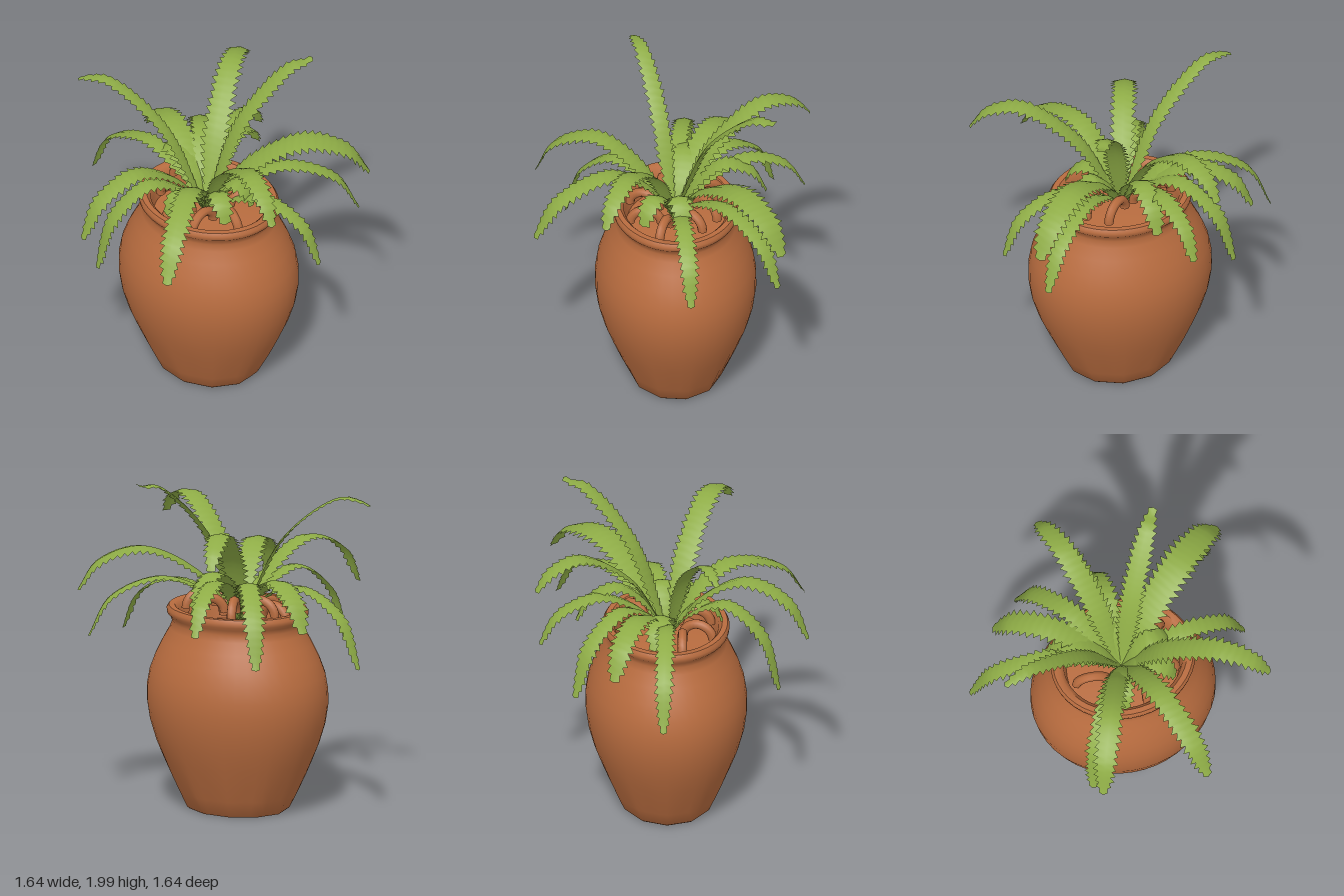
import * as THREE from 'three';
import { toCreasedNormals } from 'three/addons/utils/BufferGeometryUtils.js';

const terracotta = new THREE.MeshStandardMaterial({ color: 0xb86c3f });
terracotta.name = 'terracotta';
const fern = new THREE.MeshStandardMaterial({ color: 0x8eac46, side: THREE.DoubleSide });
fern.name = 'fern green';

// Small seeded generator for uneven leaf teeth
let seed = 7;
const random = () => (seed = (seed * 16807) % 2147483647) / 2147483647;

// Slightly oval urn with a faceted foot and a rolled rim
function makePot() {
  const profile = [
    [0, 0], [0.29, 0], [0.305, 0.012], [0.35, 0.1], [0.4, 0.2], [0.445, 0.3], [0.487, 0.4],
    [0.524, 0.52], [0.541, 0.63], [0.54, 0.72], [0.524, 0.81], [0.49, 0.9], [0.445, 0.99],
    [0.405, 1.06], [0.39, 1.1], [0.4, 1.13], [0.42, 1.15], [0.424, 1.175], [0.41, 1.195],
    [0.375, 1.195], [0.35, 1.17], [0.34, 1.11], [0.33, 1.05], [0, 1.08],
  ].map(([r, y]) => new THREE.Vector2(r, y));
  const geo = new THREE.LatheGeometry(profile, 44);
  const pos = geo.attributes.position;
  const sides = 11, step = (Math.PI * 2) / sides;
  for (let i = 0; i < pos.count; i++) {
    const x = pos.getX(i), y = pos.getY(i), z = pos.getZ(i);
    // blend from a polygon at the foot to a smooth oval above
    const a = ((Math.atan2(x, z) + Math.PI * 2) % step) - step / 2;
    const facet = 1.02 * Math.cos(step / 2) / Math.cos(a);
    const k = THREE.MathUtils.lerp(facet, 1, Math.min(1, y / 0.35));
    pos.setXYZ(i, x * k, y, z * k * 0.86);
  }
  const pot = new THREE.Mesh(toCreasedNormals(geo, 0.8), terracotta);
  pot.name = 'pot';
  pot.position.set(0.065, 0, -0.02);
  return pot;
}

// Curled clay pieces lying inside the mouth
function makeCurls() {
  const group = new THREE.Group();
  group.name = 'clayCurls';
  const geo = new THREE.TorusGeometry(0.09, 0.028, 7, 14, Math.PI);
  for (let i = 0; i < 8; i++) {
    const a = (i / 8) * Math.PI * 2 + 0.35;
    const curl = new THREE.Mesh(geo, terracotta);
    curl.name = 'clayCurl';
    const back = Math.cos(a) < -0.3;
    curl.position.set(0.065 + Math.sin(a) * 0.22, back ? 1.18 : 1.12, -0.02 + Math.cos(a) * 0.19);
    curl.rotation.y = a + Math.PI / 2 + (i % 3 - 1) * 0.5;
    group.add(curl);
  }
  return group;
}

// Arching frond: tip position, peak height, share of the reach at the peak, half width
function makeFrond([x, y, z, peak, at, half]) {
  const root = new THREE.Vector3(0.05, 1.1, -0.01);
  const tip = new THREE.Vector3(x, y, z);
  const along = (f, h) => new THREE.Vector3().lerpVectors(root, tip, f).setY(h);
  const curve = new THREE.CatmullRomCurve3([
    root,
    along(at * 0.42, 1.1 + (peak - 1.1) * 0.66),
    along(at, peak),
    along(at + (1 - at) * 0.7, peak - (peak - y) * 0.33),
    tip,
  ]);
  const side = new THREE.Vector3(-(z - root.z), 0, x - root.x).normalize();
  const teeth = Math.max(9, Math.round(curve.getLength() / 0.046));
  const rows = teeth * 2;
  const verts = [], index = [];
  for (let i = 0; i <= rows; i++) {
    const t = i / rows;
    const p = curve.getPointAt(t), dir = curve.getTangentAt(t);
    const up = new THREE.Vector3().crossVectors(side, dir).normalize();
    // narrow stem, full middle, rounded point, with a saw-toothed edge
    const grow = 0.35 + 0.65 * THREE.MathUtils.smoothstep(t, 0, 0.35);
    const fade = Math.sqrt(Math.max(0, 1 - Math.max(0, (t - 0.5) / 0.5) ** 3));
    const w = half * grow * fade;
    const tooth = i % 2 === 1;
    for (const s of [-1, 0, 1]) {
      const reach = s * w * (tooth ? 1.08 + random() * 0.22 : 0.74);
      const v = p.clone().addScaledVector(side, reach).addScaledVector(up, -Math.abs(reach) * 0.22);
      if (s !== 0 && tooth) v.addScaledVector(dir, 0.014);
      verts.push(v.x, v.y, v.z);
    }
    if (i < rows) {
      for (let j = 0; j < 2; j++) {
        const a = i * 3 + j, b = a + 1, c = a + 3, d = a + 4;
        index.push(a, b, c, b, d, c);
      }
    }
  }
  const geo = new THREE.BufferGeometry();
  geo.setAttribute('position', new THREE.Float32BufferAttribute(verts, 3));
  geo.setIndex(index);
  geo.computeVertexNormals();
  const frond = new THREE.Mesh(geo, fern);
  frond.name = 'frond';
  return frond;
}

export function createModel() {
  const model = new THREE.Group();
  model.name = 'pottedFern';
  model.add(makePot(), makeCurls());

  const fronds = new THREE.Group();
  fronds.name = 'fronds';
  const layout = [
    // back
    [-0.21, 1.6, -0.82, 1.76, 0.66, 0.07],
    [-0.08, 1.18, -0.78, 1.44, 0.55, 0.058],
    [-0.4, 0.99, -0.62, 1.42, 0.5, 0.06],
    [0.05, 1.25, -0.55, 1.46, 0.55, 0.065],
    [0.42, 1.99, -0.57, 1.97, 0.8, 0.065],
    // left
    [0.81, 1.32, -0.58, 1.57, 0.6, 0.095],
    [0.75, 1.05, -0.56, 1.39, 0.52, 0.055],
    [0.81, 0.98, -0.05, 1.32, 0.55, 0.052],
    [0.81, 1.57, 0.45, 1.75, 0.66, 0.07],
    // front
    [0.32, 1.18, 0.82, 1.5, 0.45, 0.07],
    [-0.3, 1.22, 0.76, 1.55, 0.56, 0.068],
    [-0.31, 0.9, 0.59, 1.4, 0.52, 0.06],
    // right
    [-0.71, 1.84, 0.17, 1.88, 0.76, 0.05],
    [-0.82, 0.95, -0.16, 1.38, 0.5, 0.052],
    [-0.6, 1.19, -0.42, 1.44, 0.58, 0.075],
    // short inner growth
    [-0.38, 1.25, -0.15, 1.38, 0.6, 0.07],
    [0.36, 1.23, -0.04, 1.36, 0.6, 0.065],
    [0.32, 1.22, 0.19, 1.35, 0.6, 0.065],
    [-0.02, 1.22, 0.3, 1.34, 0.6, 0.055],
  ];
  layout.forEach((spec) => fronds.add(makeFrond(spec)));
  model.add(fronds);
  return model;
}
